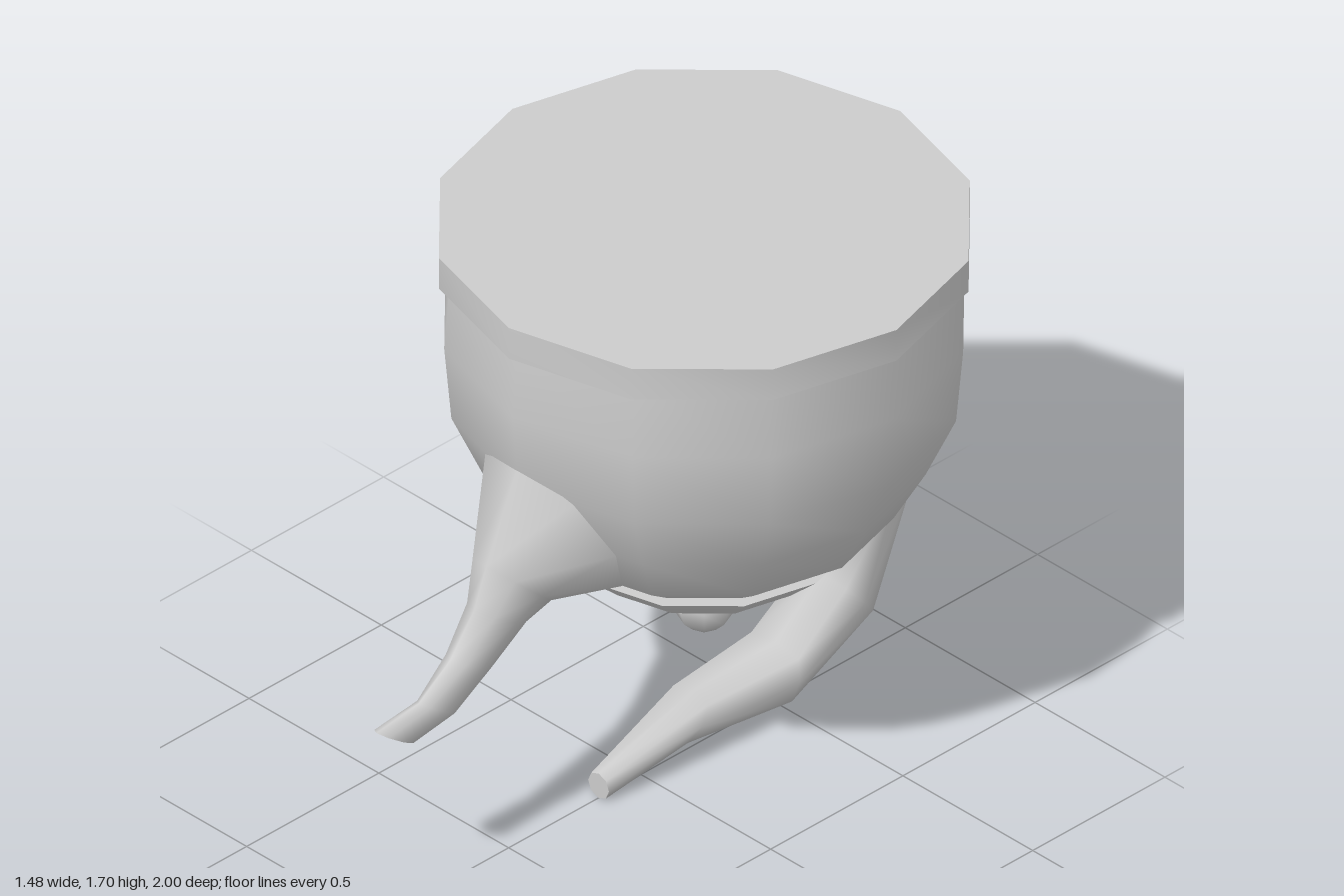
import * as THREE from 'three';
import { toCreasedNormals } from 'three/addons/utils/BufferGeometryUtils.js';

const CENTRE_Z = -0.24;
const material = new THREE.MeshStandardMaterial({ color: 0xcccccc, side: THREE.DoubleSide });

// Faceted round part turned about the pot's vertical axis; profile is [radius, y] from bottom to top
function turned(name, profile, sides, crease) {
  const points = profile.map(([r, y]) => new THREE.Vector2(r, y));
  const geometry = toCreasedNormals(new THREE.LatheGeometry(points, sides), crease);
  const mesh = new THREE.Mesh(geometry, material);
  mesh.name = name;
  mesh.position.z = CENTRE_Z;
  return mesh;
}

// Bent tube through oval sections: [z1, y1, z2, y2, halfWidth, roundness],
// where the two points are opposite edges of the section in the x = 0 plane
function lofted(name, sections, sides = 8) {
  const positions = [];
  const index = [];
  const bend = (v, e) => Math.sign(v) * Math.pow(Math.abs(v), e);
  const addRing = ([z1, y1, z2, y2, w, e = 1]) => {
    for (let j = 0; j < sides; j++) {
      const a = (j / sides) * Math.PI * 2;
      const c = bend(Math.cos(a), e) / 2;
      positions.push(w * bend(Math.sin(a), e), (y1 + y2) / 2 + c * (y1 - y2), (z1 + z2) / 2 + c * (z1 - z2));
    }
  };
  sections.forEach(addRing);
  for (let i = 0; i < sections.length - 1; i++) {
    for (let j = 0; j < sides; j++) {
      const a = i * sides + j;
      const b = i * sides + ((j + 1) % sides);
      index.push(a, a + sides, b, b, a + sides, b + sides);
    }
  }
  // flat end with its own vertices for a sharp edge
  const start = sections.length * sides;
  addRing(sections[sections.length - 1]);
  for (let j = 1; j < sides - 1; j++) index.push(start, start + j + 1, start + j);

  const geometry = new THREE.BufferGeometry();
  geometry.setAttribute('position', new THREE.Float32BufferAttribute(positions, 3));
  geometry.setIndex(index);
  geometry.computeVertexNormals();
  const mesh = new THREE.Mesh(geometry, material);
  mesh.name = name;
  return mesh;
}

export function createModel() {
  const model = new THREE.Group();
  model.name = 'upturnedTeapot';

  // Bowl-shaped body, hanging below its flat base
  model.add(turned('body', [
    [0.3, 0.69], [0.39, 0.72], [0.53, 0.82], [0.62, 0.98], [0.705, 1.17], [0.725, 1.4], [0.71, 1.6],
  ], 12, 0.9));
  model.add(turned('base', [[0.68, 1.6], [0.74, 1.6], [0.74, 1.7], [0, 1.7]], 12, 0.9));

  // Lid and its knob underneath
  model.add(turned('lid', [[0, 0.595], [0.25, 0.595], [0.33, 0.63], [0.43, 0.72], [0.3, 0.725]], 12, 0.9));
  model.add(turned('lidKnob', [
    [0, 0.378], [0.045, 0.38], [0.075, 0.41], [0.097, 0.47], [0.065, 0.555], [0.08, 0.6],
  ], 8, 1.2));

  // Spout, flaring into the body at the front
  model.add(lofted('spout', [
    [0.46, 1.24, 0.2, 0.74, 0.24],
    [0.585, 0.96, 0.39, 0.785, 0.115],
    [0.63, 0.84, 0.46, 0.745, 0.075],
    [0.72, 0.72, 0.58, 0.65, 0.055],
    [0.84, 0.635, 0.71, 0.55, 0.036],
    [1.0, 0.615, 0.87, 0.53, 0.04],
  ]));

  // Hooked handle, rooted at the back and curling forward below the pot
  model.add(lofted('handle', [
    [-0.5, 0.9, -0.78, 1.08, 0.17],
    [-0.6, 0.82, -0.87, 0.97, 0.15],
    [-0.72, 0.6, -1.0, 0.55, 0.108],
    [-0.68, 0.33, -0.81, 0.18, 0.107, 0.7],
    [-0.51, 0.19, -0.48, 0.04, 0.108, 0.5],
    [-0.2, 0.18, -0.1, 0.07, 0.085, 0.7],
    [0.16, 0.08, 0.16, 0, 0.04],
  ]));

  return model;
}
